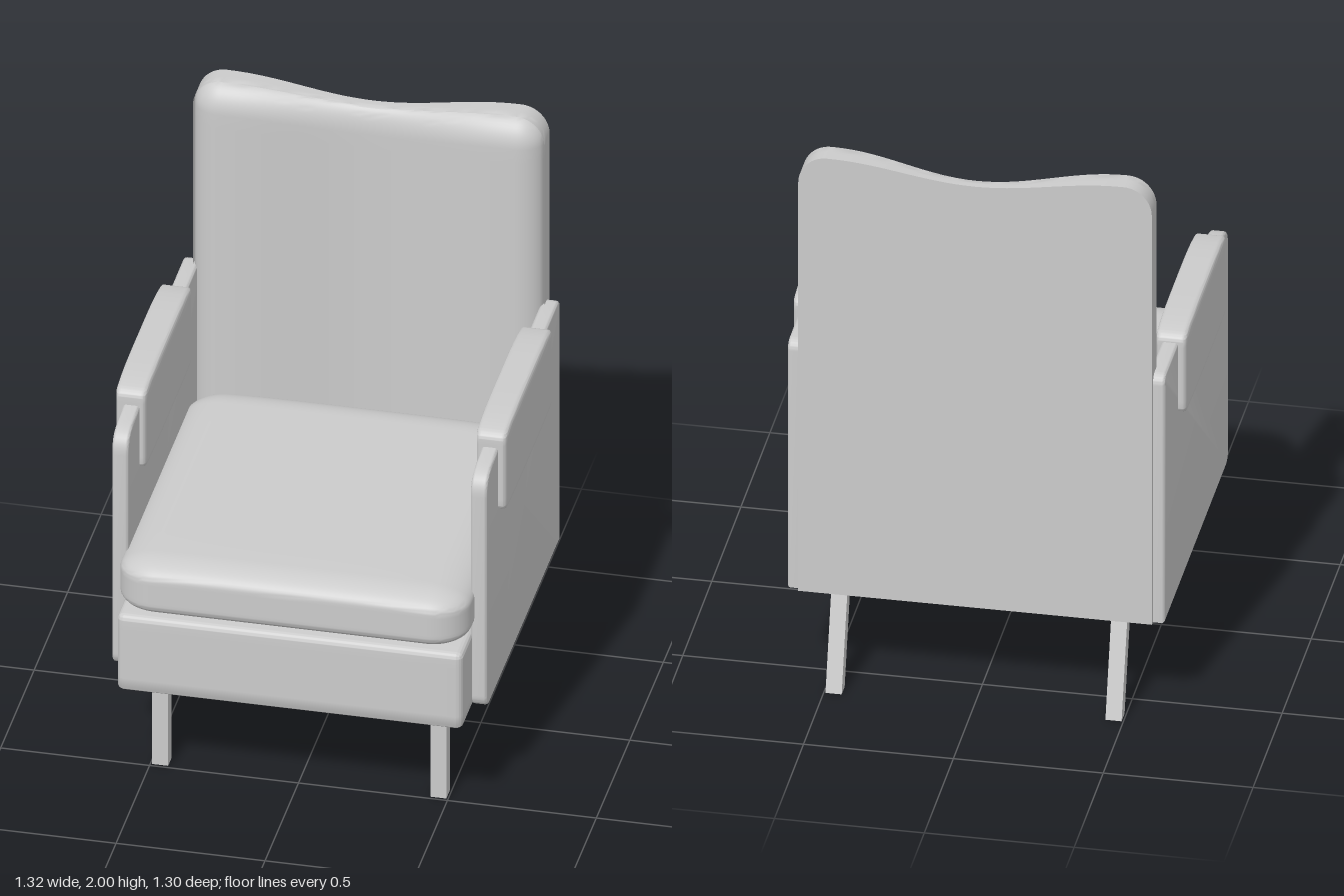
import * as THREE from 'three';
import { toCreasedNormals } from 'three/addons/utils/BufferGeometryUtils.js';

const material = new THREE.MeshStandardMaterial({ color: 0xcccccc });

function addMesh(parent, name, geometry) {
  const mesh = new THREE.Mesh(geometry, material);
  mesh.name = name;
  parent.add(mesh);
  return mesh;
}

// Box from min to max with elliptical edge radii per axis.
// flat[axis] = true leaves the low side of that axis unrounded; warp reshapes each point.
function softBox(min, max, radii, { flat = [], mid = 8, warp } = {}) {
  const k = 6, segs = 2 * k + mid;
  const geometry = new THREE.BoxGeometry(1, 1, 1, segs, segs, segs);
  const pos = geometry.attributes.position;
  const v = new THREE.Vector3();
  for (let n = 0; n < pos.count; n++) {
    const core = [], d = [];
    for (let a = 0; a < 3; a++) {
      const i = Math.round((pos.getComponent(n, a) + 0.5) * segs);
      const lo = min[a] + radii[a], hi = max[a] - radii[a];
      core[a] = THREE.MathUtils.lerp(lo, hi, THREE.MathUtils.clamp((i - k) / mid, 0, 1));
      d[a] = 0;
      if (i < k) d[a] = -Math.tan((1 - i / k) * Math.PI / 4);
      if (i > segs - k) d[a] = Math.tan((1 - (segs - i) / k) * Math.PI / 4);
      if (flat[a] && d[a] < 0) {
        core[a] += d[a] * radii[a];
        d[a] = 0;
      }
    }
    const len = Math.hypot(...d) || 1;
    const scale = Math.max(...d.map(Math.abs)) / len;
    v.fromArray(core.map((c, a) => c + d[a] * scale * radii[a]));
    if (warp) warp(v);
    pos.setXYZ(n, v.x, v.y, v.z);
  }
  return toCreasedNormals(geometry, 0.7);
}

// Square leg whose foot is shifted along z
function legGeometry(topZ, footZ) {
  const top = 0.37, geometry = new THREE.BoxGeometry(0.054, top, 0.052);
  const pos = geometry.attributes.position;
  for (let i = 0; i < pos.count; i++) {
    pos.setZ(i, pos.getZ(i) + (pos.getY(i) > 0 ? topZ : footZ));
  }
  geometry.translate(0, top / 2, 0);
  geometry.computeVertexNormals();
  return geometry;
}

// Upright side board with a rounded front and gently rising top
function sidePanelGeometry() {
  const s = new THREE.Shape();
  s.moveTo(-0.6, 0.37);
  s.lineTo(0.44, 0.37);
  s.quadraticCurveTo(0.48, 0.37, 0.48, 0.41);
  s.lineTo(0.48, 1.17);
  s.bezierCurveTo(0.48, 1.23, 0.45, 1.238, 0.4, 1.245);
  s.bezierCurveTo(0.2, 1.268, -0.2, 1.278, -0.57, 1.278);
  s.quadraticCurveTo(-0.6, 1.278, -0.6, 1.25);
  const bevel = 0.01, width = 0.055;
  const geometry = new THREE.ExtrudeGeometry(s, {
    depth: width - 2 * bevel, bevelSize: bevel, bevelThickness: bevel,
    bevelSegments: 3, curveSegments: 12,
  });
  geometry.translate(0, 0, bevel - width / 2);
  geometry.rotateY(-Math.PI / 2);
  return toCreasedNormals(geometry, 0.7);
}

export function createModel() {
  const chair = new THREE.Group();
  chair.name = 'armchair';

  // Seat base and cushion
  addMesh(chair, 'seatBase', softBox([-0.58, 0.36, -0.57], [0.58, 0.65, 0.64], [0.025, 0.02, 0.025]));
  addMesh(chair, 'seatCushion', softBox([-0.588, 0.65, -0.535], [0.588, 0.855, 0.65], [0.13, 0.055, 0.12], {
    warp: (p) => {
      // slight crown on the top
      if (p.y > 0.75) p.y -= 0.012 * Math.pow(Math.abs(p.x) / 0.588, 4);
    },
  }));

  // Backrest: flat behind, hollowed in front, dipped along the top
  const backZ = -0.627;
  addMesh(chair, 'backrest', softBox([-0.59, 0.36, backZ], [0.59, 2, -0.5], [0.095, 0.1, 0.08], {
    flat: [false, true, true],
    mid: 28,
    warp: (p) => {
      const hollow = (1 + Math.cos(Math.PI * Math.min(Math.abs(p.x) / 0.49, 1))) / 2;
      p.z = backZ + (p.z - backZ) * (1 - 0.51 * hollow);
      p.y -= 0.052 * hollow * (p.y - 0.36) / 1.64;
    },
  }));

  // Sides, arm pads and legs, mirrored
  const panel = sidePanelGeometry();
  const pad = softBox([-0.055, 1.02, -0.38], [0.055, 1.33, 0.32], [0.012, 0.025, 0.035], {
    mid: 12,
    warp: (p) => {
      const end = Math.pow((p.z + 0.03) / 0.35, 4);
      if (p.y > 1.17) p.y -= 0.018 * end * (p.y - 1.17) / 0.16;
      p.x *= 1 - 0.06 * end;
    },
  });
  const frontLeg = legGeometry(0.463, 0.463);
  const backLeg = legGeometry(-0.517, -0.627);
  for (const [side, x] of [['left', 1], ['right', -1]]) {
    addMesh(chair, side + 'SidePanel', panel).position.x = 0.602 * x;
    addMesh(chair, side + 'ArmPad', pad).position.x = 0.605 * x;
    addMesh(chair, side + 'FrontLeg', frontLeg).position.x = 0.467 * x;
    addMesh(chair, side + 'BackLeg', backLeg).position.x = 0.467 * x;
  }
  return chair;
}
